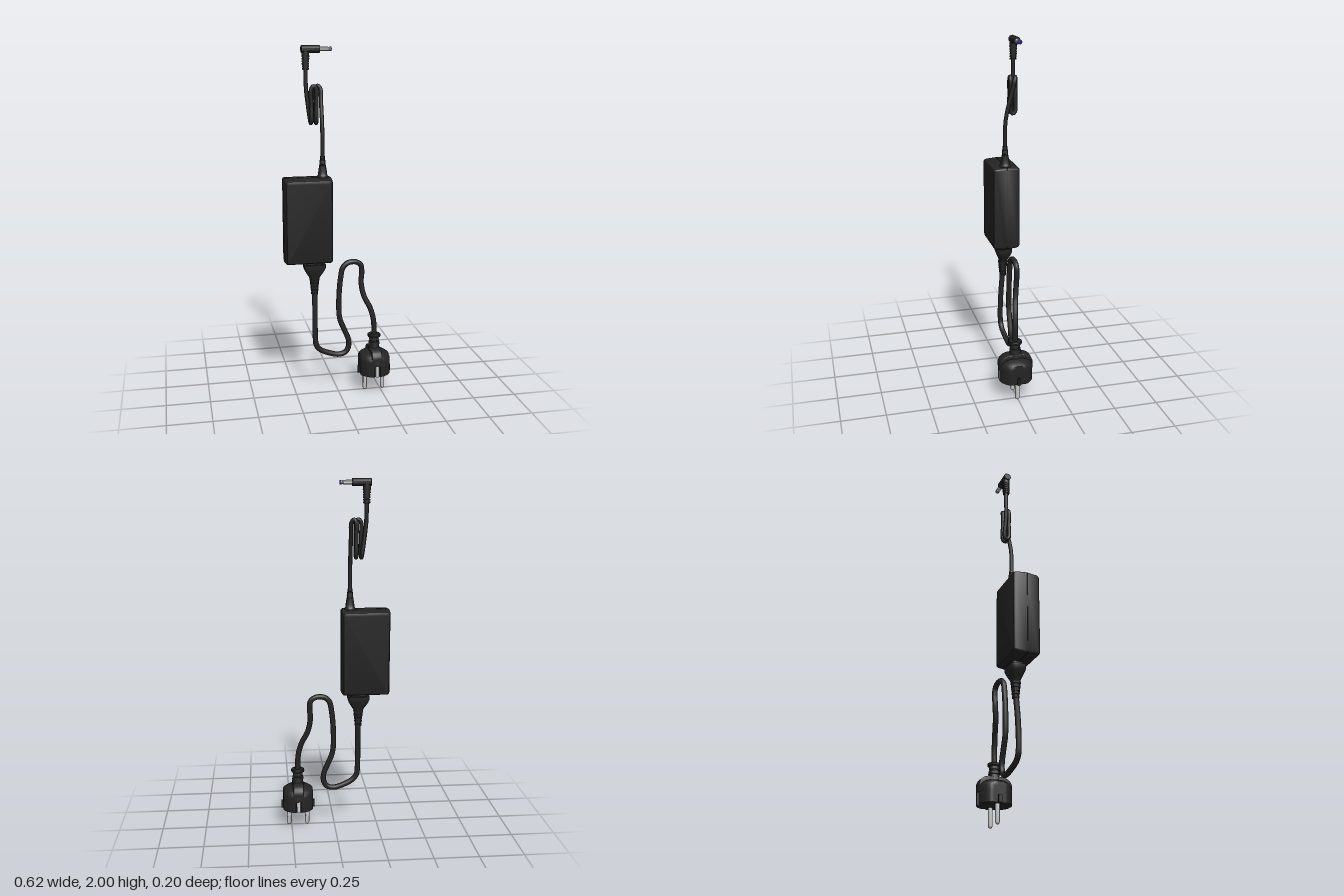
import * as THREE from 'three';
import { toCreasedNormals } from 'three/addons/utils/BufferGeometryUtils.js';

const dark = new THREE.MeshStandardMaterial({ color: 0x242424 });
const metal = new THREE.MeshStandardMaterial({ color: 0xcccccc });
const blue = new THREE.MeshStandardMaterial({ color: 0x2a3a9a });

function add(parent, name, geometry, material, x = 0, y = 0, z = 0) {
  const mesh = new THREE.Mesh(geometry, material);
  mesh.name = name;
  mesh.position.set(x, y, z);
  parent.add(mesh);
  return mesh;
}

// Turned solid from [radius, height] pairs, listed upwards
function turned(profile, sides = 32) {
  const points = profile.map(([r, y]) => new THREE.Vector2(r, y));
  return toCreasedNormals(new THREE.LatheGeometry(points, sides), 0.6);
}

// Capped solid through rounded rectangles [z, halfWidth, halfHeight, cornerRadius]
function loft(sections, steps = 5) {
  const positions = [], index = [], n = 4 * (steps + 1);
  for (const [z, w, h, r] of sections) {
    for (let c = 0; c < 4; c++) {
      const sx = c === 0 || c === 3 ? 1 : -1, sy = c < 2 ? 1 : -1;
      for (let k = 0; k <= steps; k++) {
        const a = (c + k / steps) * Math.PI / 2;
        positions.push(sx * (w - r) + r * Math.cos(a), sy * (h - r) + r * Math.sin(a), z);
      }
    }
  }
  for (let i = 0; i < sections.length - 1; i++) {
    for (let j = 0; j < n; j++) {
      const a = i * n + j, b = i * n + (j + 1) % n;
      index.push(a, b, b + n, a, b + n, a + n);
    }
  }
  const last = (sections.length - 1) * n;
  for (let j = 1; j < n - 1; j++) {
    index.push(0, j + 1, j, last, last + j, last + j + 1);
  }
  const geometry = new THREE.BufferGeometry();
  geometry.setAttribute('position', new THREE.Float32BufferAttribute(positions, 3));
  geometry.setIndex(index);
  return toCreasedNormals(geometry, 0.6);
}

// Ribbed sleeve profile between two radii
function ribs(r0, y0, r1, y1, count, groove) {
  const profile = [[0, y0]];
  for (let i = 0; i < count; i++) {
    const at = t => [r0 + (r1 - r0) * t, y0 + (y1 - y0) * t];
    const [ra, ya] = at(i / count), [rb, yb] = at((i + 0.6) / count), [rc, yc] = at((i + 1) / count);
    profile.push([ra, ya], [rb, yb], [rb - groove, yb], [rc - groove, yc]);
  }
  profile.push([0, y1]);
  return profile;
}

function cable(points, radius, segments) {
  const curve = new THREE.CatmullRomCurve3(points.map(p => new THREE.Vector3(...p)), false, 'centripetal');
  return new THREE.TubeGeometry(curve, segments, radius, 12);
}

export function createModel() {
  const model = new THREE.Group();
  model.name = 'powerAdapter';

  // Power brick: drafted halves meeting at a shallow seam
  const outline = [
    [-0.092, 0.017], [-0.0895, 0.010], [-0.083, 0.006], [-0.074, 0.004], [-0.0165, 0],
    [-0.0165, 0.005], [-0.0135, 0.005], [-0.0135, 0],
    [0.044, 0.004], [0.053, 0.006], [0.0595, 0.010], [0.062, 0.017],
  ];
  add(model, 'brick', loft(outline.map(([z, s]) => [z, 0.1365 - s, 0.2425 - s, 0.012])), dark, -0.1735, 1.0425, 0);

  // Low voltage outlet sleeve on top of the brick
  add(model, 'outletSleeve', turned([
    [0, 1.28], [0.03, 1.28], [0.03, 1.292], [0.026, 1.298], [0.024, 1.315], [0.019, 1.35],
    [0.016, 1.352], [0.016, 1.358], [0.018, 1.36], [0.016, 1.38], [0.013, 1.382],
    [0.013, 1.387], [0.015, 1.389], [0.014, 1.4], [0, 1.4],
  ]), dark, -0.087, 0, -0.015);

  // Low voltage cable folded into a small bundle
  add(model, 'lowVoltageCable', cable([
    [-0.087, 1.38, -0.015], [-0.087, 1.46, -0.015], [-0.087, 1.54, -0.018], [-0.087, 1.62, -0.033],
    [-0.087, 1.70, -0.054], [-0.087, 1.765, -0.070], [-0.100, 1.782, -0.076], [-0.113, 1.765, -0.080],
    [-0.113, 1.68, -0.080], [-0.113, 1.592, -0.080], [-0.113, 1.578, -0.067], [-0.113, 1.592, -0.054],
    [-0.113, 1.68, -0.054], [-0.113, 1.765, -0.054], [-0.127, 1.782, -0.054], [-0.141, 1.765, -0.054],
    [-0.141, 1.68, -0.054], [-0.141, 1.592, -0.054], [-0.142, 1.578, -0.067], [-0.144, 1.592, -0.080],
    [-0.155, 1.67, -0.080], [-0.165, 1.76, -0.080], [-0.167, 1.82, -0.082], [-0.167, 1.89, -0.082],
  ], 0.0115, 260), dark);

  // Angled barrel connector
  const barrel = new THREE.Group();
  barrel.name = 'barrelConnector';
  barrel.position.set(-0.167, 1.979, -0.082);
  model.add(barrel);
  add(barrel, 'barrelSleeve', turned(ribs(0.019, -0.11, 0.022, -0.03, 6, 0.004)), dark);
  add(barrel, 'barrelNeck', new THREE.CylinderGeometry(0.021, 0.021, 0.035, 32), dark, 0, -0.0175, 0);
  const along = (name, profile, material) => {
    add(barrel, name, turned(profile), material).rotation.z = -Math.PI / 2;
  };
  along('barrelBody', [[0, -0.025], [0.019, -0.025], [0.021, -0.023], [0.021, 0.077], [0.019, 0.079], [0, 0.079]], dark);
  along('barrelTip', [
    [0, 0.075], [0.012, 0.075], [0.012, 0.125], [0.0105, 0.127], [0.0105, 0.13], [0.012, 0.132],
    [0.012, 0.138], [0, 0.138],
  ], metal);
  along('barrelInsulator', [[0, 0.137], [0.012, 0.137], [0.012, 0.144], [0.006, 0.145], [0.005, 0.14], [0, 0.14]], blue);

  // Mains inlet connector under the brick
  const inlet = loft([
    [0.69, 0.024, 0.022, 0.021], [0.71, 0.032, 0.027, 0.024], [0.73, 0.045, 0.034, 0.024],
    [0.75, 0.056, 0.041, 0.024], [0.768, 0.062, 0.045, 0.022], [0.787, 0.062, 0.045, 0.022],
    [0.787, 0.048, 0.034, 0.02], [0.805, 0.048, 0.034, 0.02],
  ]);
  inlet.rotateX(-Math.PI / 2);
  add(model, 'inletConnector', inlet, dark, -0.137, 0, -0.015);
  add(model, 'inletSleeve', turned(ribs(0.019, 0.605, 0.029, 0.705, 5, 0.005)), dark, -0.137, 0, -0.013);

  // Mains cable
  add(model, 'mainsCable', cable([
    [-0.137, 0.63, -0.013], [-0.137, 0.50, -0.002], [-0.137, 0.35, 0.003], [-0.131, 0.30, 0.002],
    [-0.108, 0.270, 0], [-0.055, 0.243, -0.006], [0.005, 0.228, -0.010], [0.045, 0.24, -0.011],
    [0.063, 0.275, -0.011], [0.060, 0.32, -0.011], [0.036, 0.38, -0.012], [0.010, 0.45, -0.013],
    [0.005, 0.55, -0.014], [0.015, 0.69, -0.015], [0.030, 0.755, -0.016], [0.060, 0.78, -0.018],
    [0.105, 0.782, -0.021], [0.135, 0.762, -0.023], [0.142, 0.72, -0.024], [0.138, 0.66, -0.022],
    [0.152, 0.58, -0.014], [0.190, 0.50, -0.003], [0.208, 0.43, 0.002], [0.212, 0.33, 0.003],
  ], 0.0155, 200), dark);

  // Mains plug
  const plug = new THREE.Group();
  plug.name = 'mainsPlug';
  plug.position.set(0.212, 0, 0.003);
  model.add(plug);

  // Lower body: flattened circle with a notch front and back
  const rim = [];
  for (let i = 0; i < 72; i++) {
    const a = i / 72 * Math.PI * 2, x = 0.097 * Math.cos(a), y = 0.097 * Math.sin(a);
    rim.push(new THREE.Vector2(THREE.MathUtils.clamp(x, -0.086, 0.086), Math.abs(x) < 0.0135 ? y * 0.87 : y));
  }
  const base = new THREE.ExtrudeGeometry(new THREE.Shape(rim), { depth: 0.065, bevelEnabled: false });
  base.rotateX(-Math.PI / 2);
  add(plug, 'plugBase', toCreasedNormals(base, 0.4), dark, 0, 0.11, 0);

  // Domed shell with the same flattened sides
  const dome = new THREE.LatheGeometry([
    [0, 0.174], [0.097, 0.174], [0.097, 0.2], [0.094, 0.213], [0.086, 0.225], [0.068, 0.238],
    [0.04, 0.246], [0, 0.249],
  ].map(p => new THREE.Vector2(...p)), 72);
  const pos = dome.attributes.position;
  for (let i = 0; i < pos.count; i++) pos.setX(i, THREE.MathUtils.clamp(pos.getX(i), -0.086, 0.086));
  add(plug, 'plugDome', toCreasedNormals(dome, 0.6), dark);

  // Arched ridge over the dome
  const arch = new THREE.Shape();
  arch.moveTo(-0.091, 0.18);
  arch.lineTo(0.091, 0.18);
  arch.lineTo(0.091, 0.215);
  arch.bezierCurveTo(0.09, 0.245, 0.06, 0.262, 0.035, 0.263);
  arch.lineTo(-0.035, 0.263);
  arch.bezierCurveTo(-0.06, 0.262, -0.09, 0.245, -0.091, 0.215);
  const ridge = new THREE.ExtrudeGeometry(arch, {
    depth: 0.048, bevelThickness: 0.006, bevelSize: 0.005, bevelSegments: 3, curveSegments: 12,
  });
  ridge.translate(0, 0, -0.024);
  ridge.rotateY(Math.PI / 2);
  add(plug, 'plugRidge', toCreasedNormals(ridge, 0.6), dark);

  // Cable sleeve with collars
  add(plug, 'plugSleeve', turned([
    [0, 0.2], [0.036, 0.2], [0.034, 0.26], [0.029, 0.275], [0.029, 0.282], [0.033, 0.284], [0.031, 0.3],
    [0.025, 0.302], [0.025, 0.308], [0.029, 0.31], [0.027, 0.328], [0.037, 0.33], [0.038, 0.333],
    [0.038, 0.343], [0.035, 0.346], [0, 0.346],
  ]), dark);

  for (const side of [-1, 1]) {
    const label = side < 0 ? 'right' : 'left';
    add(plug, label + 'GuideTab', new THREE.BoxGeometry(0.025, 0.042, 0.02), dark, side * 0.0845, 0.131, 0);
    add(plug, label + 'Pin', turned([
      [0, 0], [0.006, 0.001], [0.0105, 0.005], [0.0125, 0.012], [0.0125, 0.115], [0, 0.115],
    ], 24), metal, side * 0.053, 0, 0);
    add(plug, side < 0 ? 'backEarthClip' : 'frontEarthClip', new THREE.BoxGeometry(0.018, 0.066, 0.01), metal, 0, 0.142, side * 0.09);
  }
  return model;
}
